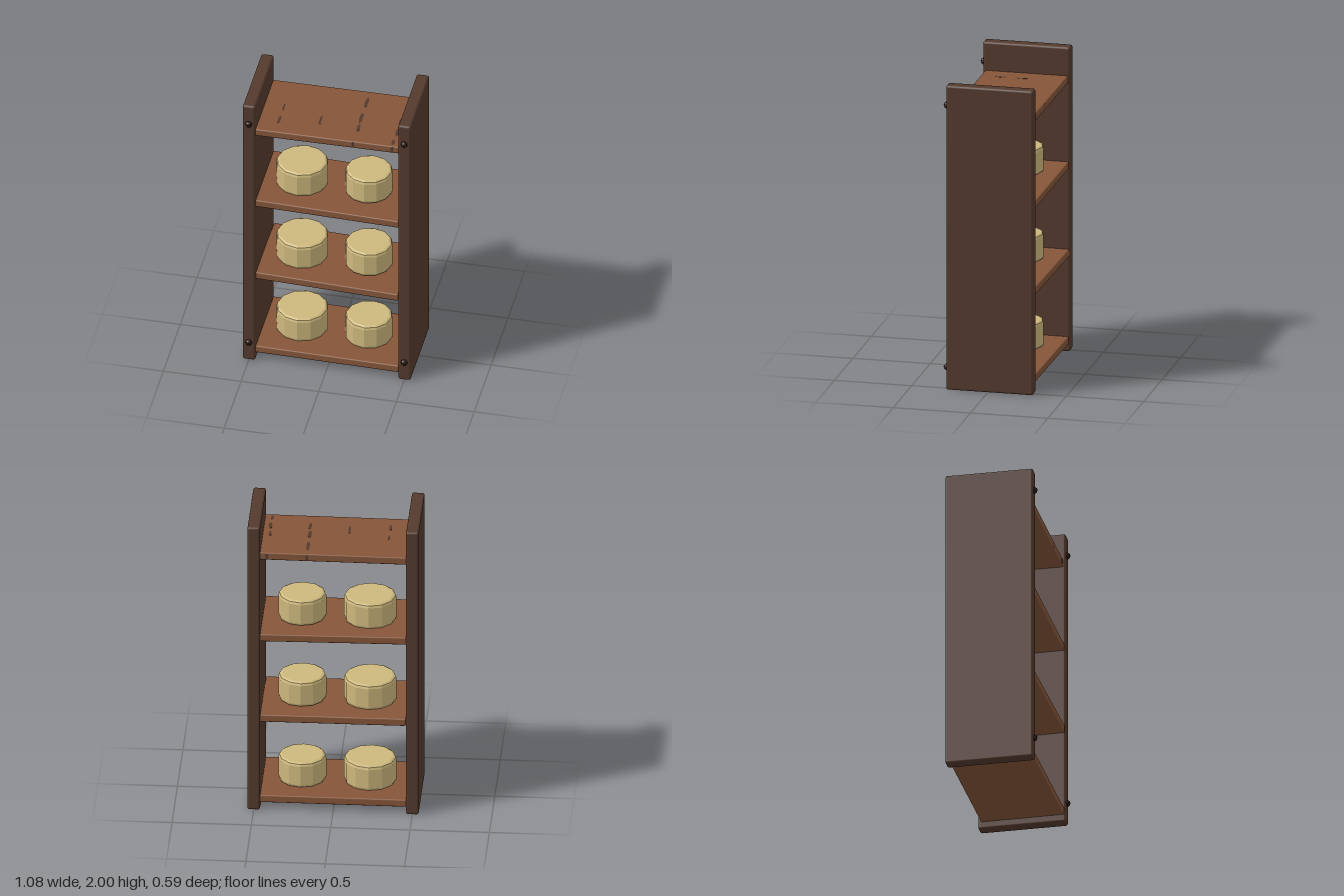
import * as THREE from 'three';
import { RoundedBoxGeometry } from 'three/addons/geometries/RoundedBoxGeometry.js';

const paint = (name, color) => {
  const m = new THREE.MeshStandardMaterial({ color });
  m.name = name;
  return m;
};

export function createModel() {
  const darkWood = paint('dark wood', 0x543a2d);
  const shelfWood = paint('shelf wood', 0x86563a);
  const cream = paint('cream', 0xcdb87d);
  cream.flatShading = true;
  const iron = paint('dark iron', 0x2e1d15);
  iron.flatShading = true;

  const model = new THREE.Group();
  model.name = 'shelfRack';
  const add = (parent, name, geometry, material, x, y, z) => {
    const mesh = new THREE.Mesh(geometry, material);
    mesh.name = name;
    mesh.position.set(x, y, z);
    parent.add(mesh);
    return mesh;
  };

  // Side panels, each with two bolts on the front edge
  const panel = new RoundedBoxGeometry(0.08, 1.995, 0.563, 2, 0.014);
  const bolt = new THREE.SphereGeometry(0.022, 8, 6);
  for (const [side, s] of [['left', 1], ['right', -1]]) {
    add(model, side + 'Panel', panel, darkWood, s * 0.5, 1.0025, -0.0115);
    for (const y of [0.145, 1.862]) add(model, side + 'Bolt', bolt, iron, s * 0.5, y, 0.271);
  }

  // Four slightly crooked shelves: height, roll, yaw
  const board = new RoundedBoxGeometry(0.93, 0.05, 0.535, 2, 0.008);
  const shelves = [
    [0.078, -0.004, -0.012],
    [0.648, -0.014, -0.025],
    [1.22, -0.015, -0.012],
    [1.792, 0.006, 0],
  ].map(([y, roll, yaw], i) => {
    const shelf = new THREE.Group();
    shelf.name = 'shelf' + (i + 1);
    shelf.position.set(0, y, -0.0125);
    shelf.rotation.set(0, yaw, roll);
    add(shelf, 'board', board, shelfWood, 0, 0, 0);
    model.add(shelf);
    return shelf;
  });

  // Worn grain marks on the top shelf: x, z, width, length
  const marks = [
    [-0.335, 0.0, 0.014, 0.07], [-0.335, 0.135, 0.02, 0.08],
    [-0.08, 0.09, 0.016, 0.1],
    [0.165, -0.15, 0.024, 0.11], [0.165, 0.01, 0.024, 0.1], [0.17, 0.12, 0.022, 0.09],
    [0.415, 0.0, 0.02, 0.07], [0.42, 0.11, 0.024, 0.08], [0.415, 0.22, 0.018, 0.06],
  ];
  const top = shelves[3];
  for (const [x, z, w, d] of marks) {
    const plate = new THREE.CylinderGeometry(0.5, 0.5, 0.002, 8);
    plate.scale(w, 1, d);
    add(top, 'grainMark', plate, darkWood, x, 0.025, z);
  }
  for (const x of [0.165, 0.418])
    for (const s of [1, -1])
      add(top, 'edgeMark', new THREE.BoxGeometry(0.016, 0.036, 0.002), darkWood, x, 0, s * 0.2675);

  // Two round wheels on each of the lower shelves
  const wheel = (r, h) => new THREE.LatheGeometry([
    [0, 0], [r - 0.018, 0], [r - 0.005, 0.006], [r, 0.02],
    [r, h - 0.022], [r - 0.006, h - 0.007], [r - 0.02, h], [0, h],
  ].map(([x, y]) => new THREE.Vector2(x, y)), 12);
  const bigWheel = wheel(0.166, 0.172);
  const smallWheel = wheel(0.151, 0.172);
  for (const y of [0.102, 0.674, 1.246]) {
    add(model, 'rightWheel', bigWheel, cream, -0.217, y, -0.015);
    add(model, 'leftWheel', smallWheel, cream, 0.212, y, -0.015);
  }

  return model;
}
